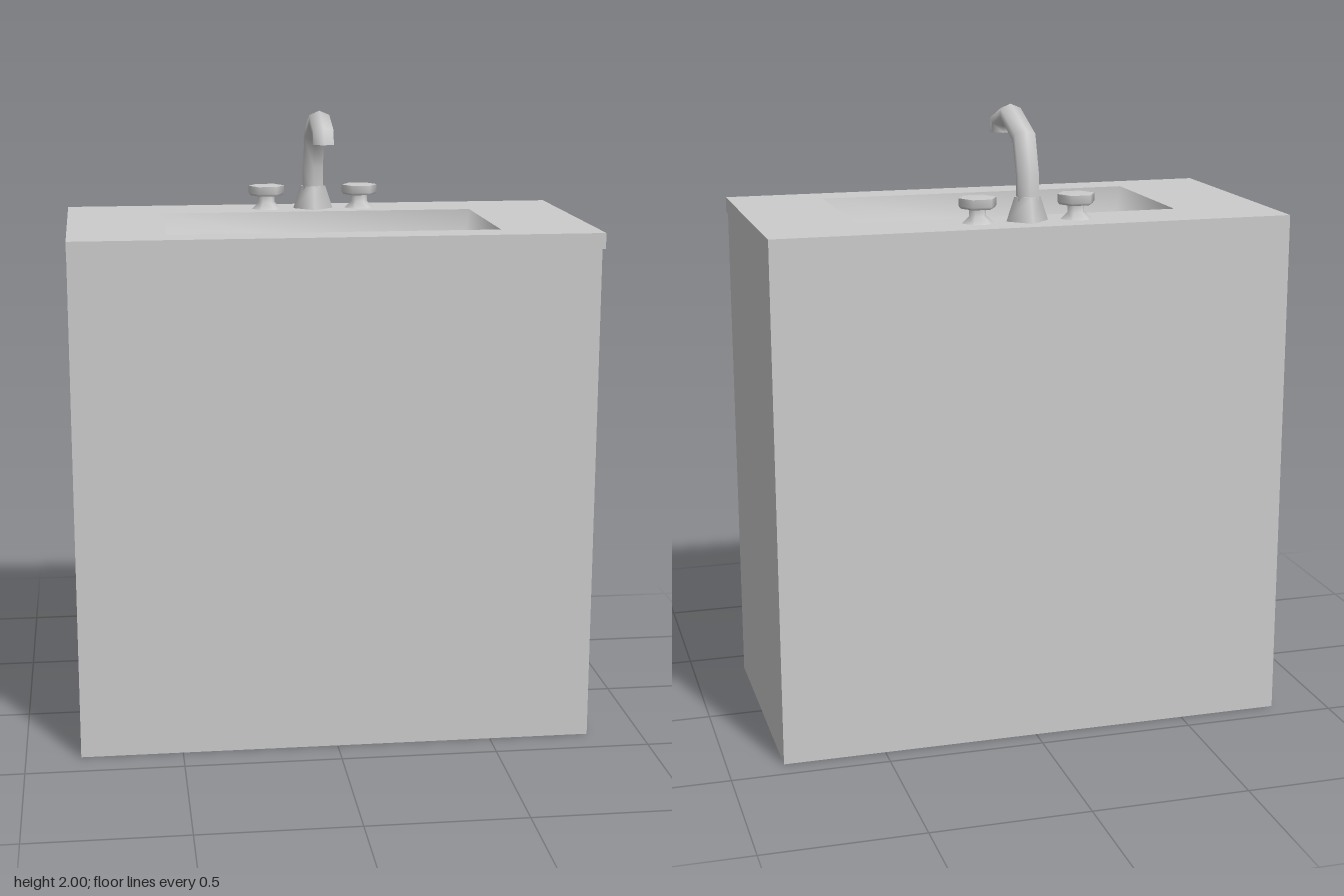
import * as THREE from 'three';

const TOP = 1.66, HALF_W = 0.825, BACK = -0.43, FRONT = 0.43;
const RIM = { w: 0.52, back: -0.21, front: 0.31 };

const material = new THREE.MeshStandardMaterial({ color: 0xcccccc });
const thinMaterial = new THREE.MeshStandardMaterial({ color: 0xcccccc, side: THREE.DoubleSide });

function addMesh(parent, name, geometry, mat = material) {
  const mesh = new THREE.Mesh(geometry, mat);
  mesh.name = name;
  parent.add(mesh);
  return mesh;
}

// Skin over equal-sized rings of points, closed at the last ring, smooth normals.
function loft(rings) {
  const n = rings[0].length, last = rings.length - 1;
  const points = rings.flat();
  const centre = new THREE.Vector3();
  rings[last].forEach((p) => centre.addScaledVector(p, 1 / n));
  points.push(centre);
  const index = [];
  for (let j = 0; j < n; j++) {
    const k = (j + 1) % n;
    for (let i = 0; i < last; i++) {
      const a = i * n + j, b = i * n + k;
      index.push(a, b, a + n, b, b + n, a + n);
    }
    index.push(last * n + j, last * n + k, points.length - 1);
  }
  const geometry = new THREE.BufferGeometry().setFromPoints(points);
  geometry.setIndex(index);
  geometry.computeVertexNormals();
  return geometry;
}

// Cabinet with overhanging front lip: a side profile extruded across x, left open on top.
function cabinetGeometry() {
  const profile = [[BACK, 0], [0.39, 0], [0.39, 1.61], [FRONT, 1.61], [FRONT, TOP], [BACK, TOP]];
  const shape = new THREE.Shape(profile.map(([z, y]) => new THREE.Vector2(z, y)));
  const geometry = new THREE.ExtrudeGeometry(shape, { depth: 2 * HALF_W, bevelEnabled: false });
  geometry.translate(0, 0, -HALF_W).rotateY(-Math.PI / 2);
  const normal = geometry.attributes.normal;
  const index = [];
  for (let i = 0; i < normal.count; i += 3) {
    if (normal.getY(i) < 0.9) index.push(i, i + 1, i + 2);
  }
  geometry.setIndex(index);
  geometry.clearGroups();
  return geometry;
}

// Flat counter with the basin opening cut out.
function counterGeometry() {
  const rect = (w, back, front) => [
    new THREE.Vector2(-w, -front), new THREE.Vector2(w, -front),
    new THREE.Vector2(w, -back), new THREE.Vector2(-w, -back),
  ];
  const shape = new THREE.Shape(rect(HALF_W, BACK, FRONT));
  shape.holes.push(new THREE.Path(rect(RIM.w, RIM.back, RIM.front)));
  return new THREE.ShapeGeometry(shape).rotateX(-Math.PI / 2).translate(0, TOP, 0);
}

// Tapered rectangular basin running from the rim down to its floor.
function basinGeometry() {
  const ring = (w, back, front, y) =>
    [[-w, front], [w, front], [w, back], [-w, back]].map(([x, z]) => new THREE.Vector3(x, y, z));
  return loft([
    ring(RIM.w, RIM.back, RIM.front, TOP),
    ring(0.48, -0.155, 0.275, TOP - 0.2),
  ]);
}

// Six-sided bent spout; each section gives its outer and inner point as z, y.
function spoutGeometry() {
  const sections = [
    [-0.336, 1.7, -0.28, 1.7],
    [-0.336, 1.8, -0.282, 1.8],
    [-0.294, 1.934, -0.245, 1.89],
    [-0.12, 2.0, -0.12, 1.945],
    [0.0, 1.957, -0.038, 1.92],
    [0.02, 1.9, -0.04, 1.9],
  ];
  const rings = sections.map(([zo, yo, zi, yi]) => {
    const ring = [];
    for (let k = 0; k < 6; k++) {
      const a = Math.PI / 6 + (k * Math.PI) / 3;
      const t = Math.sin(a) / 2;
      ring.push(new THREE.Vector3(0.038 * Math.cos(a),
        (yo + yi) / 2 + (yo - yi) * t, (zo + zi) / 2 + (zo - zi) * t));
    }
    return ring;
  });
  rings.push(rings[rings.length - 1].map((p) => p.clone())); // sharp edge at the outlet
  return loft(rings);
}

// Six-sided tap handle: flared foot, narrow stem, flat knob.
function handleGeometry() {
  const profile = [
    [0.05, 0], [0.027, 0.022], [0.027, 0.046], [0.027, 0.046],
    [0.054, 0.046], [0.054, 0.046], [0.06, 0.054], [0.06, 0.078], [0.06, 0.078], [0, 0.08],
  ];
  return new THREE.LatheGeometry(
    profile.map(([r, y]) => new THREE.Vector2(r, y)), 6, Math.PI / 2);
}

export function createModel() {
  const group = new THREE.Group();
  group.name = 'washstand';

  addMesh(group, 'cabinet', cabinetGeometry());
  addMesh(group, 'counterTop', counterGeometry(), thinMaterial);
  addMesh(group, 'basin', basinGeometry(), thinMaterial);

  const faucet = new THREE.Group();
  faucet.name = 'faucet';
  group.add(faucet);

  // Four-sided foot standing on its corners
  const foot = addMesh(faucet, 'spoutFoot', new THREE.CylinderGeometry(0.042, 0.067, 0.075, 4));
  foot.position.set(0, TOP + 0.0375, -0.308);
  addMesh(faucet, 'spout', spoutGeometry());

  for (const side of [1, -1]) {
    const handle = addMesh(faucet, side > 0 ? 'leftHandle' : 'rightHandle', handleGeometry());
    handle.position.set(side * 0.158, TOP, -0.306);
  }
  return group;
}
